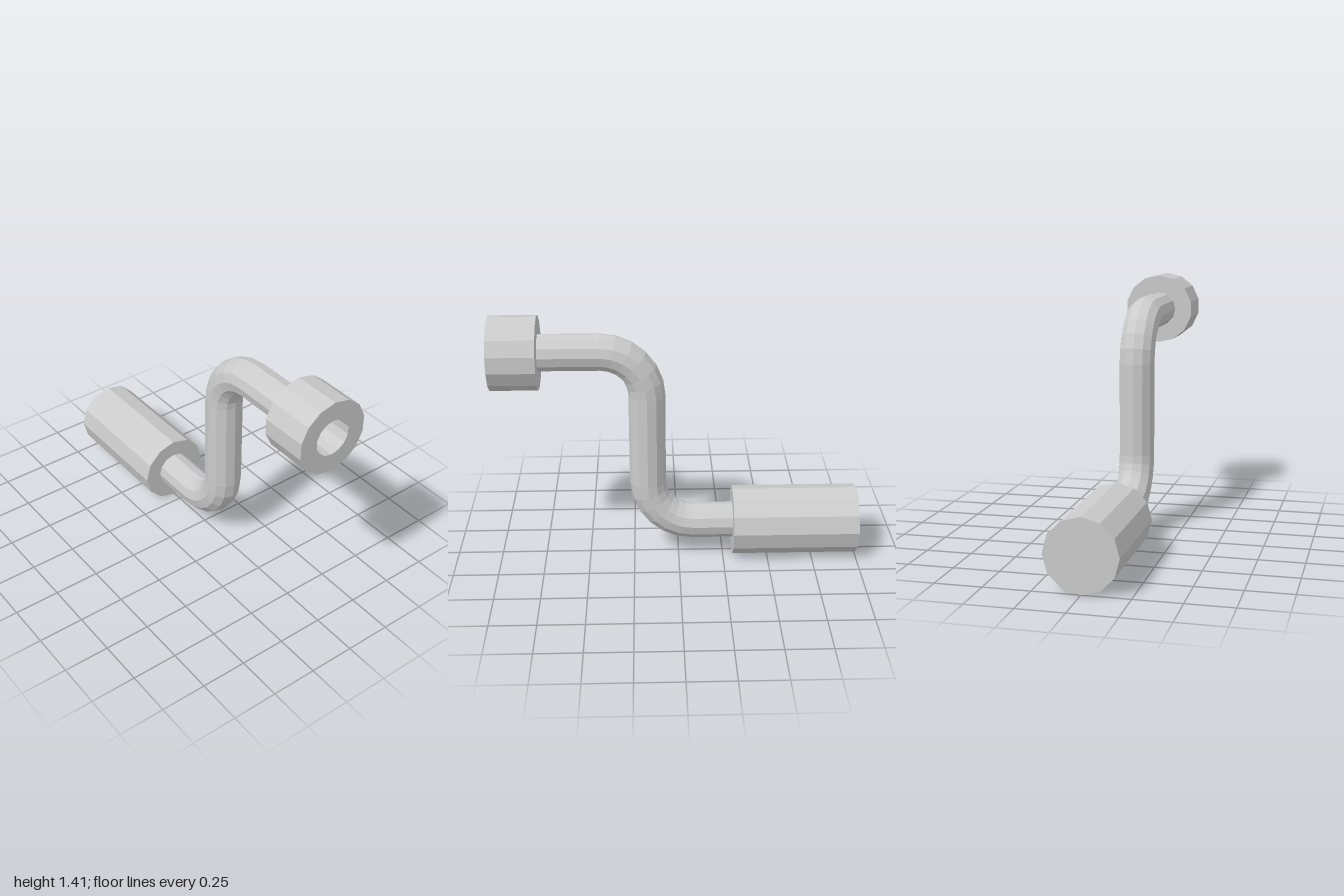
import * as THREE from 'three';

const material = new THREE.MeshStandardMaterial({ color: 0xcccccc, flatShading: true });

function addMesh(group, name, geometry) {
  const mesh = new THREE.Mesh(geometry, material);
  mesh.name = name;
  group.add(mesh);
  return mesh;
}

// Turned part lying along x, with a vertex pointing straight up
function turned(profile, sides) {
  const points = profile.map(([r, along]) => new THREE.Vector2(r, along));
  return new THREE.LatheGeometry(points, sides).rotateZ(-Math.PI / 2).rotateX(Math.PI / 2);
}

// Round bar swept through stations [x, y, heading] in the xy plane, capped at both ends
function sweptBar(stations, radius, sides) {
  const positions = [];
  const index = [];
  for (const [x, y, heading] of stations) {
    for (let j = 0; j < sides; j++) {
      const t = (j / sides) * Math.PI * 2;
      const out = radius * Math.cos(t);
      positions.push(x - Math.sin(heading) * out, y + Math.cos(heading) * out, radius * Math.sin(t));
    }
  }
  for (let i = 0; i < stations.length - 1; i++) {
    for (let j = 0; j < sides; j++) {
      const a = i * sides + j;
      const b = i * sides + ((j + 1) % sides);
      index.push(a, b, a + sides, b, b + sides, a + sides);
    }
  }
  const last = (stations.length - 1) * sides;
  for (let j = 1; j < sides - 1; j++) {
    index.push(0, j + 1, j);
    index.push(last, last + j, last + j + 1);
  }
  const geometry = new THREE.BufferGeometry();
  geometry.setAttribute('position', new THREE.Float32BufferAttribute(positions, 3));
  geometry.setIndex(index);
  geometry.computeVertexNormals();
  return geometry;
}

export function createModel() {
  const group = new THREE.Group();
  group.name = 'crankHandle';

  const lowY = 0.194;
  const highY = 1.21;
  const armX = 0.17;
  const bend = 0.25;
  const bendSteps = 6;

  // Bent rod: grip shaft, elbow up, arm, elbow out to the socket
  const stations = [[-0.32, lowY, 0]];
  for (let i = 0; i <= bendSteps; i++) {
    const a = (i / bendSteps) * Math.PI / 2;
    stations.push([armX - bend + bend * Math.sin(a), lowY + bend - bend * Math.cos(a), a]);
  }
  for (let i = bendSteps; i >= 0; i--) {
    const a = (i / bendSteps) * Math.PI / 2;
    stations.push([armX + bend - bend * Math.sin(a), highY - bend + bend * Math.cos(a), a]);
  }
  stations.push([0.75, highY, 0]);
  addMesh(group, 'bentRod', sweptBar(stations, 0.1, 12));

  // Solid hand grip
  const grip = addMesh(group, 'grip', turned([[0, 0], [0.193, 0], [0.193, 0.697], [0, 0.697]], 12));
  grip.position.set(-1, 0.193, 0);

  // Socket collar with a bore through it
  const socket = addMesh(group, 'socket',
    turned([[0.1, 0], [0.2, 0], [0.2, 0.256], [0.1, 0.256], [0.1, 0]], 14));
  socket.position.set(0.744, highY, 0);

  return group;
}
